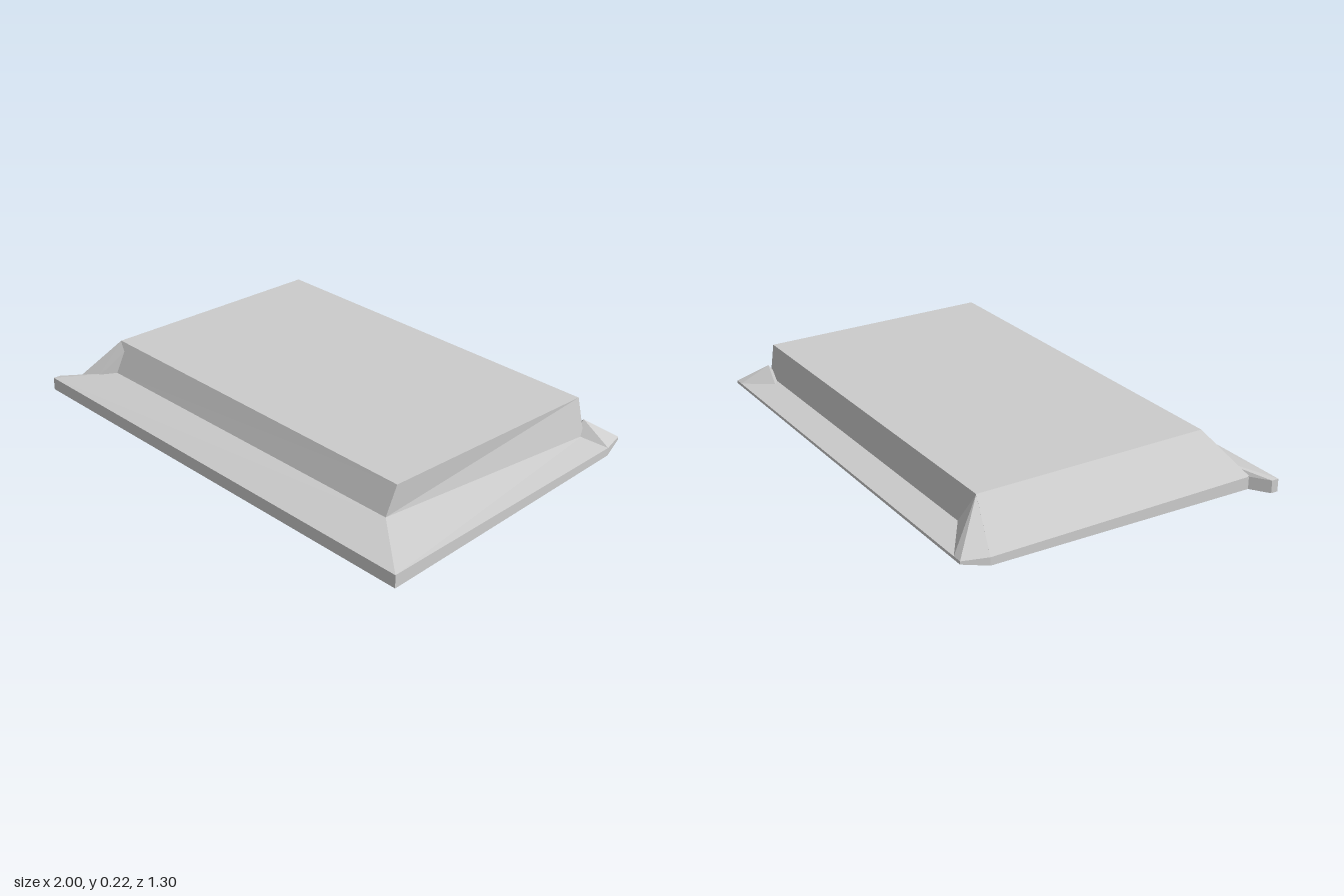
import * as THREE from 'three';
import { ConvexGeometry } from 'three/addons/geometries/ConvexGeometry.js';

const material = new THREE.MeshStandardMaterial({ color: 0xcccccc, flatShading: true });

// Skins a series of closed rings, each a counterclockwise list of [x, y, z] seen from above.
function skin(rings, capStart = false, capEnd = false) {
  const out = [];
  const tri = (a, b, c) => out.push(...a, ...b, ...c);
  const n = rings[0].length;
  for (let r = 0; r < rings.length - 1; r++) {
    const a = rings[r], b = rings[r + 1];
    for (let i = 0; i < n; i++) {
      const j = (i + 1) % n;
      tri(a[i], a[j], b[j]);
      tri(a[i], b[j], b[i]);
    }
  }
  const first = rings[0], last = rings[rings.length - 1];
  for (let i = 1; i < n - 1; i++) {
    if (capStart) tri(first[0], first[i + 1], first[i]);
    if (capEnd) tri(last[0], last[i], last[i + 1]);
  }
  const g = new THREE.BufferGeometry();
  g.setAttribute('position', new THREE.Float32BufferAttribute(out, 3));
  g.computeVertexNormals();
  return g;
}

const hull = (points) => new ConvexGeometry(points.map((p) => new THREE.Vector3(...p)));

// Repeats four corners (front +x, back +x, back -x, front -x) to match the eight-point outline.
const spread = (c) => [c[0], c[1], c[1], c[2], c[2], c[3], c[3], c[3]];

// The underside rises gently to the back, then kicks up at the back edge.
const underside = (z) => (z > -0.55 ? (0.65 - z) * 0.017 : 0.02 + (-0.55 - z) * 0.2);

export function createModel() {
  const group = new THREE.Group();
  const add = (name, geometry) => {
    const mesh = new THREE.Mesh(geometry, material);
    mesh.name = name;
    group.add(mesh);
  };

  const outline = [
    [1, 0.65], [0.93, -0.55], [0.9, -0.65], [-0.9, -0.65],
    [-0.93, -0.55], [-0.93, 0.57], [-1, 0.62], [-1, 0.65],
  ];
  const outerBottom = outline.map(([x, z]) => [x, underside(z), z]);
  const outerTop = outline.map(([x, z]) => [x, 0.052, z]);
  const opening = spread([[0.75, 0.45], [0.71, -0.49], [-0.72, -0.49], [-0.74, 0.44]]
    .map(([x, z]) => [x, underside(z), z]));
  const ceiling = spread([[0.74, 0.2, 0.4], [0.71, 0.2, -0.49], [-0.72, 0.2, -0.49], [-0.74, 0.2, 0.4]]);
  const wallFoot = spread([[0.785, 0.108, 0.485], [0.825, 0.072, -0.53], [-0.8, 0.07, -0.527], [-0.78, 0.1, 0.485]]);
  const top = spread([[0.793, 0.223, 0.44], [0.793, 0.223, -0.525], [-0.8, 0.223, -0.525], [-0.8, 0.223, 0.44]]);

  add('rim', skin([opening, outerBottom, outerTop, wallFoot]));
  add('raisedBody', skin([wallFoot, top], false, true));
  add('cavity', skin([ceiling, opening], true));

  // Full-height sloping side on -x
  add('slopedSide', hull([
    [-0.8, 0.223, 0.44], [-0.8, 0.223, -0.525], [-0.93, 0.052, -0.55], [-0.93, 0.055, 0.57],
    [-0.79, 0.055, 0.47], [-0.79, 0.055, -0.52],
  ]));

  // Corner gussets between the walls and the rim
  add('frontCornerGusset', hull([
    [-0.8, 0.222, 0.44], [-0.93, 0.053, 0.57], [-0.85, 0.06, 0.55], [-0.77, 0.06, 0.49], [-0.765, 0.19, 0.452],
  ]));
  add('backCornerGusset', hull([
    [-0.8, 0.222, -0.525], [-0.8, 0.19, -0.532], [-0.93, 0.052, -0.55],
    [-0.9, 0.052, -0.65], [-0.86, 0.052, -0.65], [-0.68, 0.07, -0.525],
  ]));
  add('smallBackGusset', hull([
    [0.81, 0.13, -0.545], [0.93, 0.052, -0.55], [0.9, 0.052, -0.65],
    [0.86, 0.052, -0.65], [0.74, 0.07, -0.55], [0.8, 0.07, -0.5],
  ]));
  return group;
}
